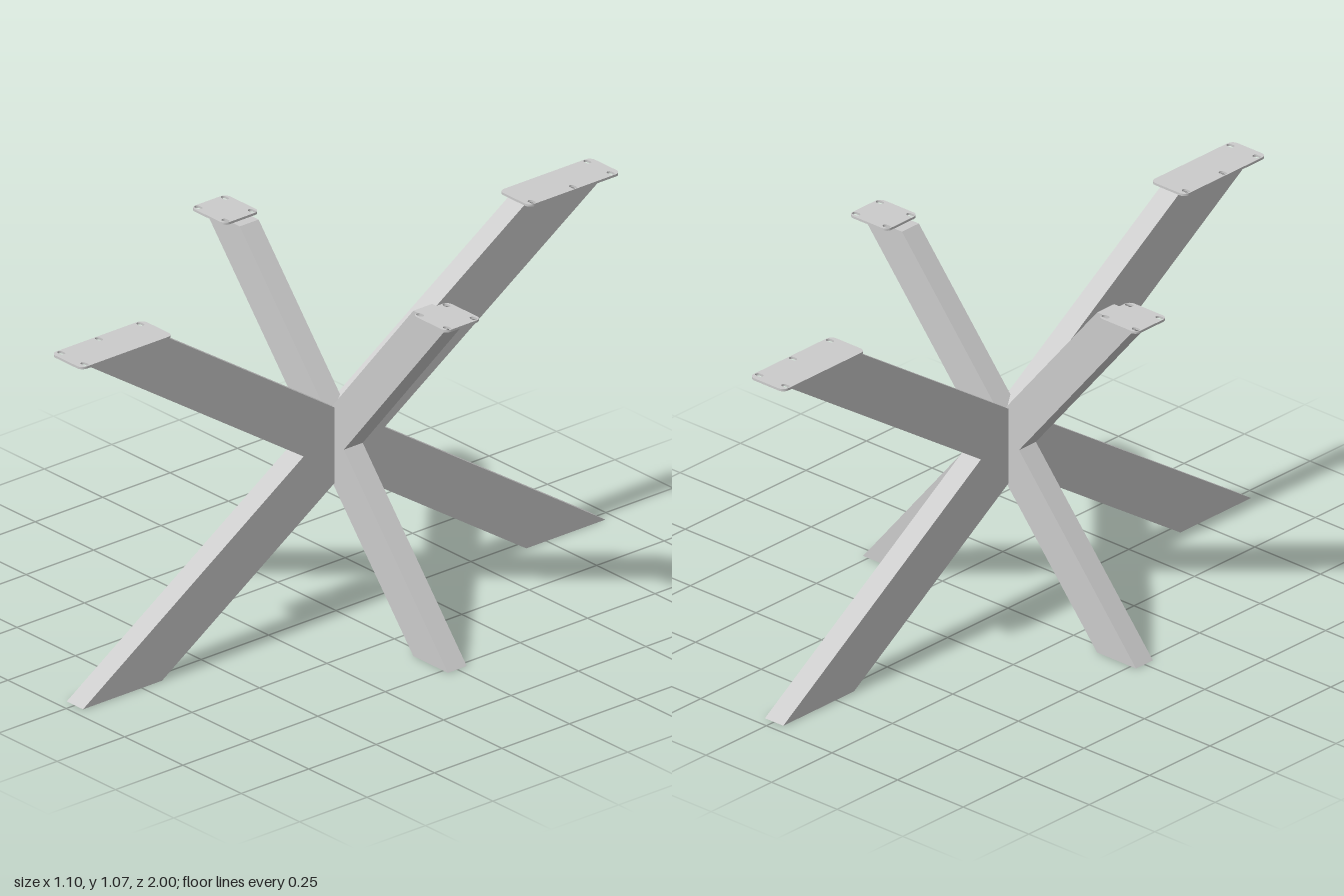
import * as THREE from 'three';

const LEG_HEIGHT = 1.067;
const LEG_WIDTH = 0.07;
const PLATE_THICKNESS = 0.007;

const material = new THREE.MeshStandardMaterial({ color: 0xcccccc, flatShading: true });

// X-shaped frame with legs cut flat at floor and top
function crossFrame(inner, outer, notch) {
  const mid = LEG_HEIGHT / 2;
  const crotch = mid * inner / (outer - notch);
  const top = LEG_HEIGHT;
  const outline = [
    [inner, 0], [outer, 0], [notch, mid], [outer, top], [inner, top], [0, top - crotch],
    [-inner, top], [-outer, top], [-notch, mid], [-outer, 0], [-inner, 0], [0, crotch],
  ];
  const shape = new THREE.Shape(outline.map(([x, y]) => new THREE.Vector2(x, y)));
  const geometry = new THREE.ExtrudeGeometry(shape, { depth: LEG_WIDTH, bevelEnabled: false });
  return geometry.translate(0, 0, -LEG_WIDTH / 2);
}

// Slotted screw hole, long in x
function slot(x, y) {
  const r = 0.008, half = 0.005;
  const path = new THREE.Path();
  path.absarc(x + half, y, r, -Math.PI / 2, Math.PI / 2);
  path.absarc(x - half, y, r, Math.PI / 2, Math.PI * 1.5);
  path.closePath();
  return path;
}

// Rounded mounting plate lying flat, with screw slots
function mountingPlate(width, depth, holes) {
  const w = width / 2, d = depth / 2, r = 0.02;
  const shape = new THREE.Shape();
  shape.absarc(w - r, d - r, r, 0, Math.PI / 2);
  shape.absarc(-w + r, d - r, r, Math.PI / 2, Math.PI);
  shape.absarc(-w + r, -d + r, r, Math.PI, Math.PI * 1.5);
  shape.absarc(w - r, -d + r, r, Math.PI * 1.5, Math.PI * 2);
  shape.closePath();
  shape.holes = holes.map(([x, y]) => slot(x, y));
  const geometry = new THREE.ExtrudeGeometry(shape, {
    depth: PLATE_THICKNESS, bevelEnabled: false, curveSegments: 6,
  });
  return geometry.rotateX(-Math.PI / 2);
}

export function createModel() {
  const group = new THREE.Group();
  const add = (name, geometry) => {
    const mesh = new THREE.Mesh(geometry, material);
    mesh.name = name;
    group.add(mesh);
    return mesh;
  };

  // Two crossing leg frames: narrow one side to side, long one front to back
  add('sideLegs', crossFrame(0.372, 0.52, 0.074));
  add('frontBackLegs', crossFrame(0.675, 0.968, 0.15)).rotation.y = Math.PI / 2;

  // Plates on the leg tops, each pair turned half a circle apart
  const sidePlate = mountingPlate(0.147, 0.132,
    [[-0.058, -0.049], [0.058, -0.049], [-0.058, 0.049], [0.058, 0.049]]);
  const longPlate = mountingPlate(0.132, 0.34,
    [[-0.05, 0.145], [0.05, 0.145], [0.05, 0.005], [0.05, -0.148]]);
  for (const side of [1, -1]) {
    const turn = side > 0 ? 0 : Math.PI;
    const a = add(side > 0 ? 'leftPlate' : 'rightPlate', sidePlate);
    a.position.set(side * 0.475, LEG_HEIGHT, 0);
    a.rotation.y = turn;
    const b = add(side > 0 ? 'backPlate' : 'frontPlate', longPlate);
    b.position.set(0, LEG_HEIGHT, -side * 0.83);
    b.rotation.y = turn;
  }
  return group;
}
